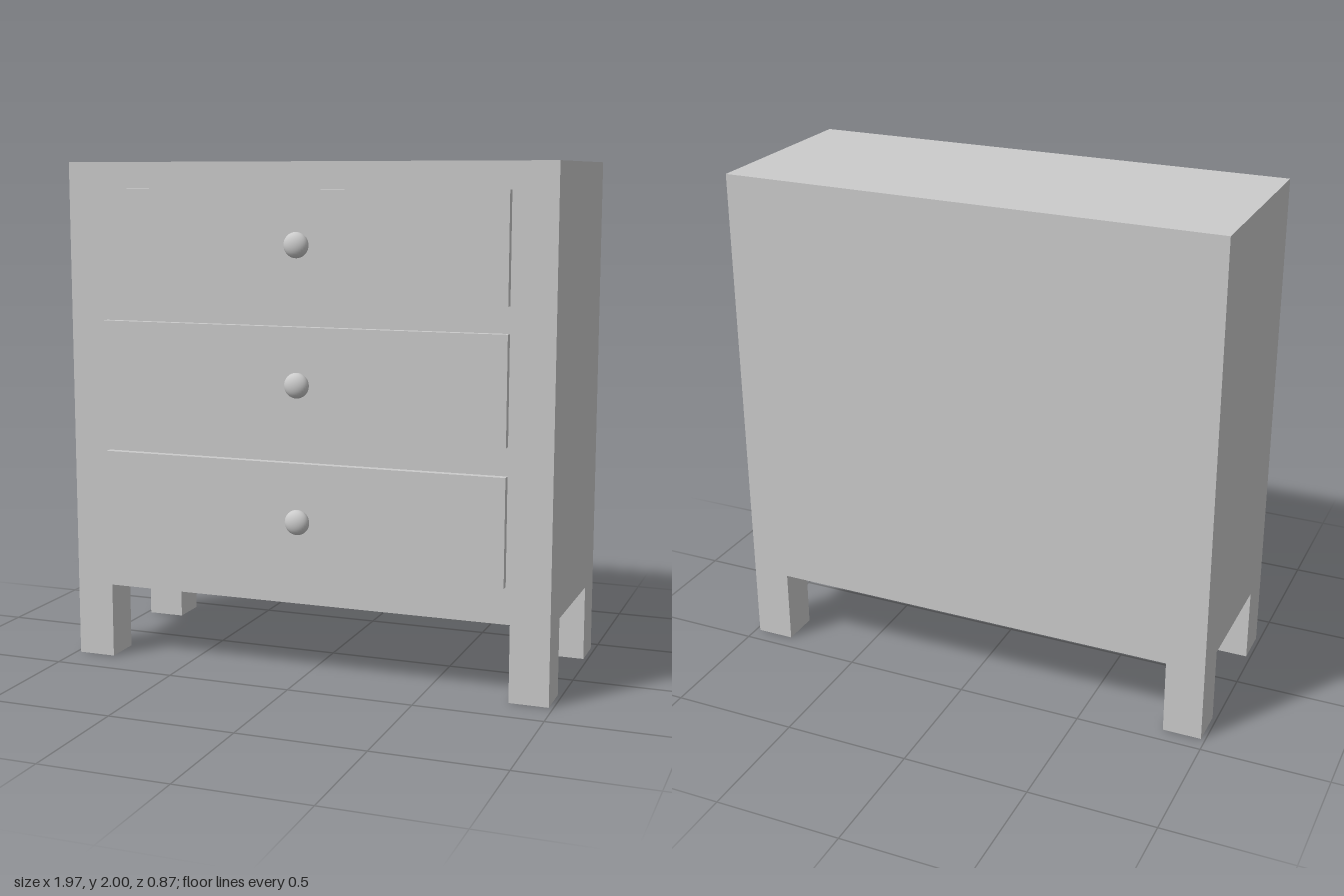
import * as THREE from 'three';

const material = new THREE.MeshStandardMaterial({ color: 0xcccccc });

// Box given by its limits on each axis
function box(name, [x0, x1], [y0, y1], [z0, z1]) {
  const mesh = new THREE.Mesh(new THREE.BoxGeometry(x1 - x0, y1 - y0, z1 - z0), material);
  mesh.position.set((x0 + x1) / 2, (y0 + y1) / 2, (z0 + z1) / 2);
  mesh.name = name;
  return mesh;
}

export function createModel() {
  const model = new THREE.Group();
  model.name = 'chestOfDrawers';
  const halfWidth = 0.983, back = -0.435, front = 0.35, legHeight = 0.3;

  // Cabinet
  model.add(box('cabinet', [-halfWidth, halfWidth], [legHeight, 2], [back, front]));

  // Four square legs, flush with the cabinet corners
  const legWidth = 0.153;
  for (const [side, x] of [['right', -halfWidth], ['left', halfWidth - legWidth]]) {
    for (const [end, z] of [['Front', front - legWidth], ['Back', back]]) {
      model.add(box(`${side}${end}Leg`, [x, x + legWidth], [0, legHeight], [z, z + legWidth]));
    }
  }

  // Drawer fronts with flattened round knobs: [bottom, top, knob height]
  const drawers = [[0.444, 0.859, 0.635], [0.968, 1.382, 1.163], [1.482, 1.897, 1.691]];
  const knobGeometry = new THREE.SphereGeometry(0.049, 32, 16);
  drawers.forEach(([bottom, top, knobY], i) => {
    const drawer = new THREE.Group();
    drawer.name = `drawer${i + 1}`;
    drawer.add(box('drawerFront', [-0.826, 0.812], [bottom, top], [front, 0.381]));
    const knob = new THREE.Mesh(knobGeometry, material);
    knob.name = 'knob';
    knob.scale.z = 0.66;
    knob.position.set(0.003, knobY, 0.403);
    drawer.add(knob);
    model.add(drawer);
  });

  return model;
}
